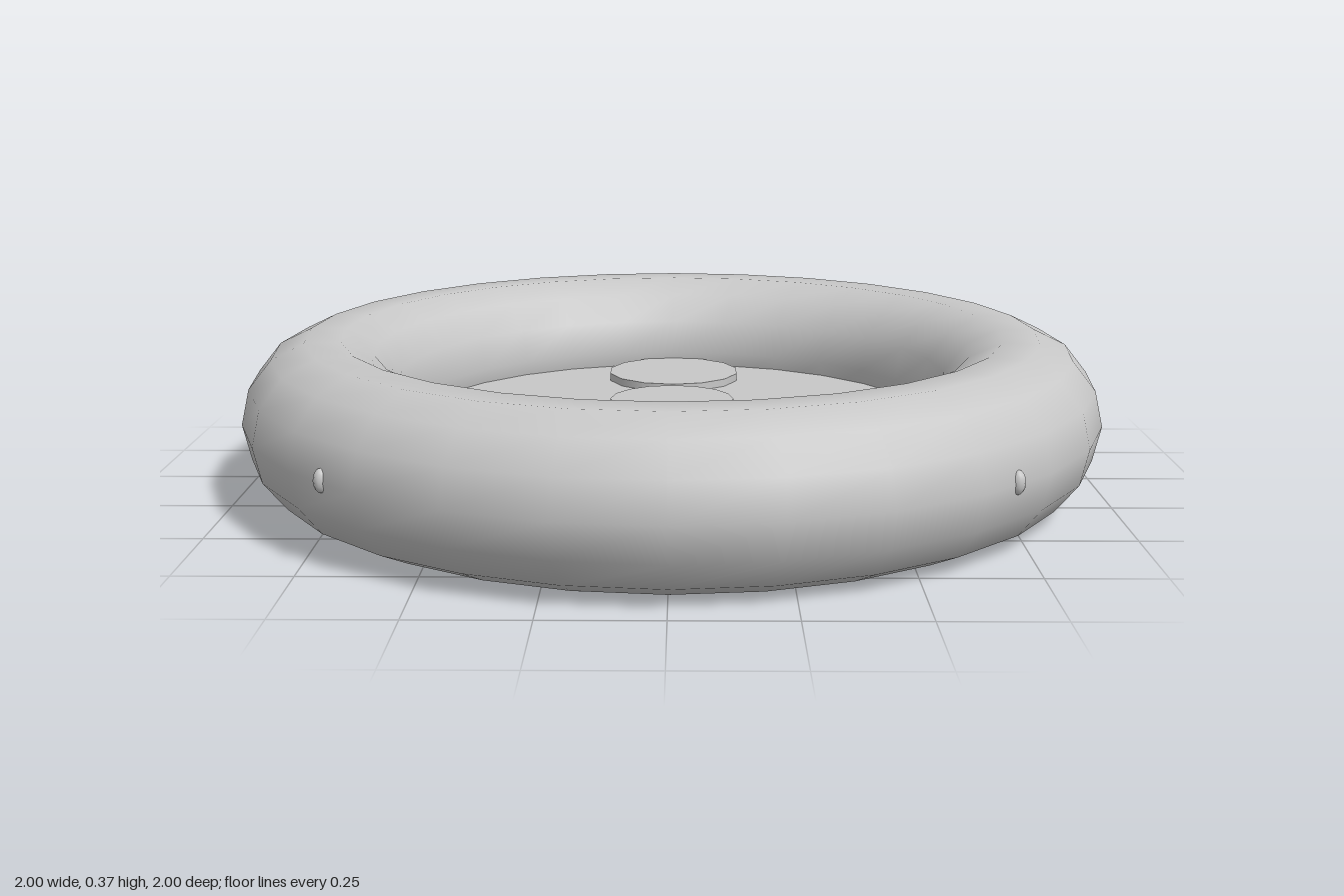
import * as THREE from 'three';

export function createModel() {
  const model = new THREE.Group();
  model.name = 'inflatableRing';
  const grey = new THREE.MeshStandardMaterial({ color: 0xc8c8c8 });
  grey.name = 'light grey';

  const add = (name, geometry, x = 0, y = 0, z = 0) => {
    const mesh = new THREE.Mesh(geometry, grey);
    mesh.name = name;
    mesh.position.set(x, y, z);
    model.add(mesh);
    return mesh;
  };
  // upright disc between two heights
  const disc = (name, r, bottom, top, sides, x = 0, z = 0) =>
    add(name, new THREE.CylinderGeometry(r, r, top - bottom, sides), x, (bottom + top) / 2, z);

  // Outer tube
  const midY = 0.183;
  add('outerTube', new THREE.TorusGeometry(0.8125, 0.1875, 14, 28).rotateX(Math.PI / 2), 0, midY, 0);

  // Floor and central hub
  disc('floor', 0.67, 0.08, 0.147, 28);
  disc('hub', 0.147, 0.14, 0.196, 16);

  // Four low pads around the hub, and four small studs on the outer rim
  for (let i = 0; i < 4; i++) {
    const a = i * Math.PI / 2;
    disc('pad', 0.17, 0.14, 0.166, 14, 0.465 * Math.cos(a), 0.465 * Math.sin(a));

    const b = a + Math.PI / 4;
    const stud = add('rimStud', new THREE.SphereGeometry(1, 10, 8),
      0.988 * Math.cos(b), midY + 0.002, 0.988 * Math.sin(b));
    stud.scale.set(0.016, 0.026, 0.016);
    stud.rotation.y = -b;
  }
  return model;
}
